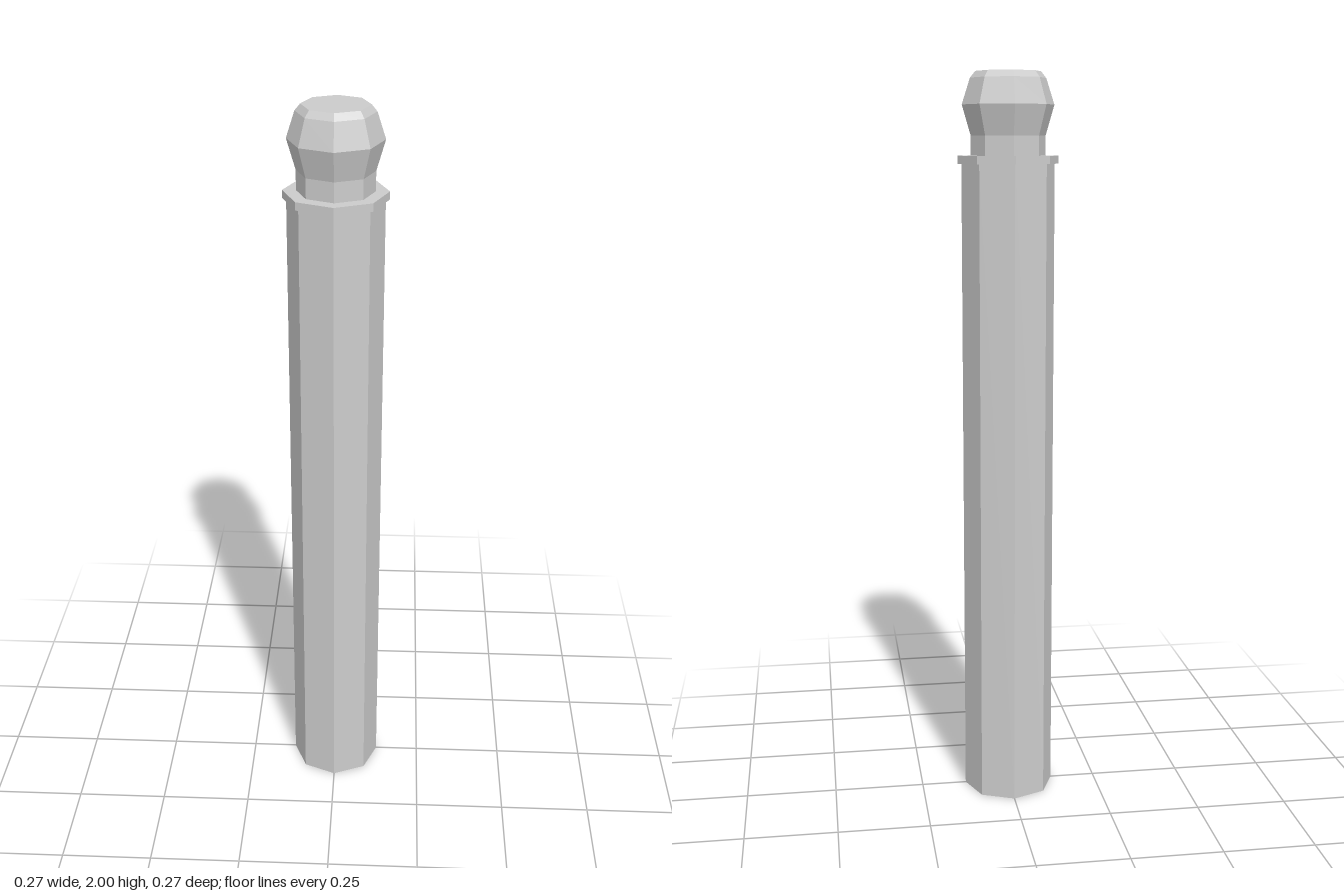
import * as THREE from 'three';

const SIDES = 8;

export function createModel() {
  const group = new THREE.Group();
  const material = new THREE.MeshStandardMaterial({ color: 0xcccccc, flatShading: true });

  // Turn a bottom-to-top profile of [radius, height] into an eight-sided part
  const addTurned = (name, profile) => {
    const points = profile.map(([r, y]) => new THREE.Vector2(r, y));
    const mesh = new THREE.Mesh(new THREE.LatheGeometry(points, SIDES), material);
    mesh.name = name;
    group.add(mesh);
  };

  // Long straight post with a closed base
  addTurned('shaft', [[0, 0], [0.125, 0], [0.125, 1.763]]);

  // Thin ring overhanging the shaft
  addTurned('collar', [[0.125, 1.763], [0.135, 1.763], [0.135, 1.784], [0.1, 1.784]]);

  // Neck flaring into a faceted knob with a chamfered flat top
  addTurned('knob', [
    [0.1, 1.784], [0.1, 1.836], [0.123, 1.915],
    [0.101, 1.983], [0.087, 2], [0, 2],
  ]);

  return group;
}
